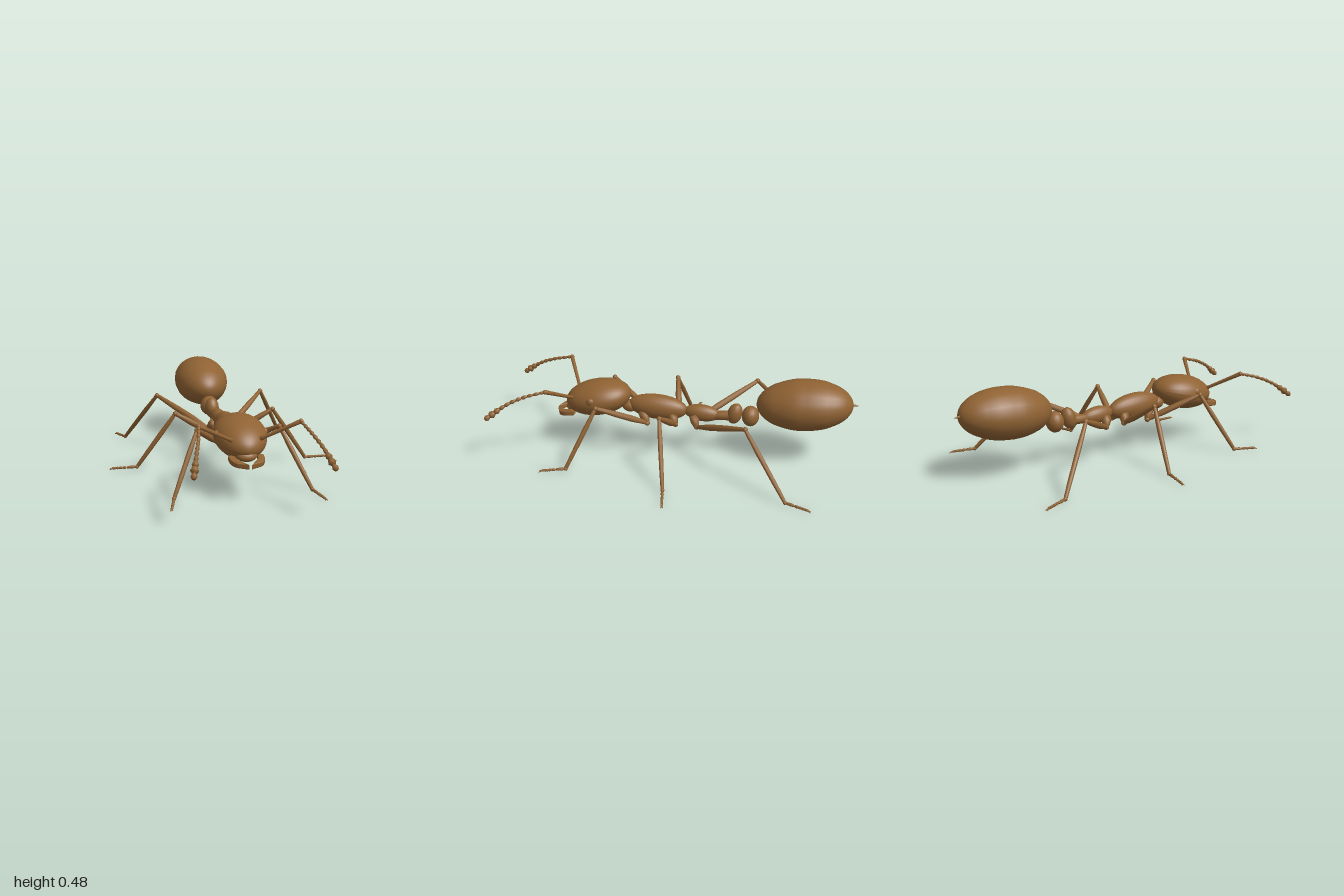
import * as THREE from 'three';

const brown = new THREE.MeshStandardMaterial({ color: 0x8f6233 });
brown.name = 'chitin brown';
const UP = new THREE.Vector3(0, 1, 0);
const V = (p) => new THREE.Vector3(...p);

export function createModel() {
  const model = new THREE.Group();
  model.name = 'ant';

  const add = (parent, name, geometry) => {
    const mesh = new THREE.Mesh(geometry, brown);
    mesh.name = name;
    parent.add(mesh);
    return mesh;
  };

  // Ellipsoid with its poles along z; tilt > 0 lowers the front end
  const ellipsoid = (parent, name, pos, radii, tilt = 0, seg = 24) => {
    const g = new THREE.SphereGeometry(1, seg, Math.round(seg * 0.7));
    g.rotateX(Math.PI / 2).scale(...radii);
    const mesh = add(parent, name, g);
    mesh.position.set(...pos);
    mesh.rotation.x = tilt;
    return mesh;
  };

  // Turned limb segment from a to b; profile holds [radius, fraction of length]
  const limb = (parent, name, a, b, profile, sides = 10) => {
    const from = V(a), dir = V(b).sub(from), len = dir.length();
    const pts = profile.map(([r, t]) => new THREE.Vector2(r, t * len));
    const mesh = add(parent, name, new THREE.LatheGeometry(pts, sides));
    mesh.position.copy(from);
    mesh.quaternion.setFromUnitVectors(UP, dir.normalize());
    return mesh;
  };
  const bead = (r0, r, r1) => [[0, 0], [r0, 0.03], [r, 0.6], [r1, 0.95], [0, 1]];

  // Head, tipped slightly forward, narrowing towards the mouth
  const head = ellipsoid(model, 'head', [0, 0.296, 0.447], [0.137, 0.098, 0.188], 0.2, 32);
  const hp = head.geometry.attributes.position;
  for (let i = 0; i < hp.count; i++) {
    const k = 1 - 0.06 * (hp.getZ(i) / 0.188);
    hp.setX(i, Math.max(-0.137, Math.min(0.137, hp.getX(i) * k)));
  }
  head.geometry.computeVertexNormals();
  ellipsoid(model, 'clypeus', [0, 0.236, 0.59], [0.056, 0.031, 0.045], 0.3);

  // Thorax and waist
  ellipsoid(model, 'thorax', [0, 0.262, 0.105], [0.063, 0.072, 0.168], -0.06);
  ellipsoid(model, 'neck', [0, 0.255, 0.265], [0.035, 0.035, 0.045]);
  ellipsoid(model, 'propodeum', [0, 0.246, -0.145], [0.043, 0.048, 0.1], -0.08);
  limb(model, 'waistStalk', [0, 0.235, -0.2], [0, 0.245, -0.33],
    [[0, 0], [0.028, 0.02], [0.026, 0.5], [0.03, 1]], 14);
  ellipsoid(model, 'petiole', [0, 0.257, -0.328], [0.041, 0.062, 0.041], -0.25, 18);
  ellipsoid(model, 'postpetiole', [0, 0.25, -0.415], [0.054, 0.058, 0.048], 0, 18);

  // Gaster: egg-shaped lathe with shallow overlapping plates
  const gasterPts = [];
  for (let i = 0; i <= 32; i++) {
    const t = i / 32, a = Math.PI * t;
    const step = i > 3 && i < 29 ? 0.014 * (((i - 4) % 6) / 5 - 0.7) : 0;
    gasterPts.push(new THREE.Vector2(Math.sin(a) * (1 + step), -Math.cos(a)));
  }
  const gasterGeo = new THREE.LatheGeometry(gasterPts, 24);
  gasterGeo.rotateX(-Math.PI / 2).scale(0.161, 0.139, 0.26);
  const gaster = add(model, 'gaster', gasterGeo);
  gaster.position.set(0, 0.345, -0.706);
  gaster.rotation.x = 0.07;
  limb(model, 'sting', [0, 0.367, -0.94], [0, 0.362, -1], [[0.012, 0], [0.006, 0.5], [0, 1]], 8);

  const femur = [[0, 0], [0.011, 0.01], [0.018, 0.3], [0.017, 0.6], [0.011, 0.97], [0, 1]];
  const tibia = [[0, 0], [0.01, 0.01], [0.0135, 0.35], [0.012, 0.75], [0.01, 0.98], [0, 1]];

  // Leg joints on the left side: root, hip, knee, ankle, toe
  const legs = {
    frontLeg: [[0.03, 0.24, 0.19], [0.062, 0.185, 0.155], [0.217, 0.325, 0.406], [0.36, 0.016, 0.548], [0.39, 0.008, 0.675]],
    middleLeg: [[0.03, 0.235, 0.02], [0.06, 0.19, -0.005], [0.274, 0.325, 0.042], [0.485, 0.016, -0.016], [0.62, 0.008, -0.039]],
    hindLeg: [[0.025, 0.235, -0.1], [0.06, 0.185, -0.125], [0.315, 0.325, -0.42], [0.49, 0.016, -0.655], [0.532, 0.008, -0.775]],
  };

  for (const s of [1, -1]) {
    const side = s > 0 ? 'left' : 'right';
    const m = (p) => [p[0] * s, p[1], p[2]];

    ellipsoid(model, side + 'Eye', [0.124 * s, 0.314, 0.462], [0.016, 0.023, 0.024], 0, 14);

    // Mandible: curved tapering blade
    const blade = new THREE.Shape();
    blade.moveTo(0.06, 0.57);
    blade.lineTo(0.09, 0.575);
    blade.quadraticCurveTo(0.095, 0.64, 0.062, 0.665);
    blade.lineTo(0.006, 0.688);
    blade.lineTo(0.028, 0.655);
    blade.lineTo(0.05, 0.625);
    const mirrored = new THREE.Shape(blade.getPoints(6).map((p) => new THREE.Vector2(p.x * s, p.y)));
    const bladeGeo = new THREE.ExtrudeGeometry(mirrored, {
      depth: 0.016, bevelEnabled: true, bevelThickness: 0.006, bevelSize: 0.004, bevelOffset: -0.004, bevelSegments: 2,
    });
    bladeGeo.rotateX(Math.PI / 2);
    const mandible = add(model, side + 'Mandible', bladeGeo);
    mandible.position.set(0, 0.325, 0.01);
    mandible.rotation.x = 0.17;

    // Antenna: scape, elbow, beaded whip and three-bead club
    const antenna = new THREE.Group();
    antenna.name = side + 'Antenna';
    model.add(antenna);
    const elbow = [0.254, 0.417, 0.672];
    limb(antenna, 'scape', m([0.068, 0.308, 0.575]), m(elbow),
      [[0, 0], [0.013, 0.02], [0.009, 0.12], [0.011, 0.8], [0.012, 0.97], [0, 1]]);
    ellipsoid(antenna, 'elbow', m(elbow), [0.013, 0.013, 0.013], 0, 10);
    const whip = new THREE.CatmullRomCurve3(
      [elbow, [0.276, 0.385, 0.79], [0.302, 0.342, 0.885], [0.335, 0.262, 0.998]].map((p) => V(m(p))));
    const beads = 11;
    for (let i = 0; i < beads; i++) {
      const club = i >= beads - 3;
      const r = club ? [0.017, 0.021, 0.016][i - beads + 3] : 0.0095 + i * 0.0003;
      const a = whip.getPointAt(i / beads).toArray(), b = whip.getPointAt((i + 1) / beads).toArray();
      limb(antenna, club ? 'clubSegment' : 'whipSegment', a, b, bead(r * 0.6, r, r * 0.65));
    }

    for (const [name, joints] of Object.entries(legs)) {
      const leg = new THREE.Group();
      leg.name = side + name[0].toUpperCase() + name.slice(1);
      model.add(leg);
      const [root, hip, knee, ankle, toe] = joints.map(m);
      limb(leg, 'coxa', root, hip, [[0, 0], [0.025, 0.05], [0.026, 0.45], [0.016, 0.95], [0, 1]]);
      ellipsoid(leg, 'trochanter', hip, [0.016, 0.015, 0.016], 0, 10);
      limb(leg, 'femur', hip, knee, femur);
      ellipsoid(leg, 'knee', knee, [0.014, 0.014, 0.014], 0, 10);
      limb(leg, 'tibia', knee, ankle, tibia);
      ellipsoid(leg, 'ankle', ankle, [0.011, 0.011, 0.011], 0, 10);

      // Foot: one long segment, four short ones, then a pair of claws
      const stops = [0, 0.42, 0.58, 0.72, 0.86, 1];
      const along = (t) => V(ankle).lerp(V(toe), t).toArray();
      for (let i = 0; i < 5; i++) {
        limb(leg, 'footSegment', along(stops[i]), along(stops[i + 1]), bead(0.006, 0.0085 - i * 0.0004, 0.006), 8);
      }
      const dir = V(toe).sub(V(ankle)).setY(0).normalize();
      for (const turn of [-0.4, 0.4]) {
        const tip = dir.clone().applyAxisAngle(UP, turn).multiplyScalar(0.019).add(V(toe));
        tip.y = 0.001;
        limb(leg, 'claw', toe, tip.toArray(), [[0, 0], [0.004, 0.02], [0.003, 0.6], [0, 1]], 6);
      }
    }
  }
  return model;
}
